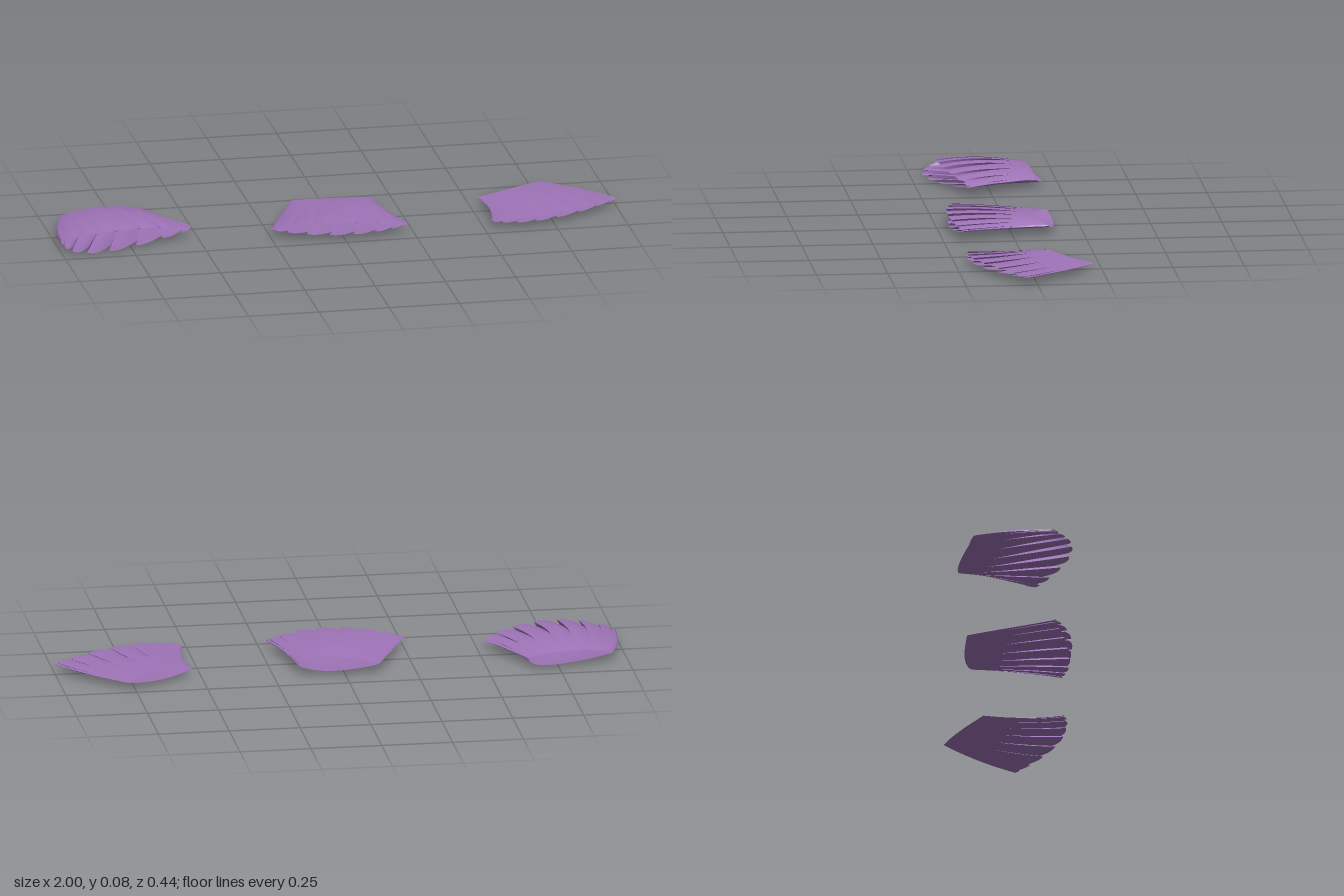
import * as THREE from 'three';
import { toCreasedNormals } from 'three/addons/utils/BufferGeometryUtils.js';

const ROWS = 16;
const PLEATS = 9;
const FOLDS = 6;

// curved edge from one corner to the other through a middle point, all [x, z]
function edge(left, mid, right) {
  const point = ([x, z]) => new THREE.Vector3(x, 0, z);
  const [l, m, r] = [left, mid, right].map(point);
  const control = m.multiplyScalar(2).addScaledVector(l, -0.5).addScaledVector(r, -0.5);
  return new THREE.QuadraticBezierCurve3(l, control, r);
}

// columns across one layer: each pleat rises slowly, then tucks under the next
function layerColumns() {
  const cols = [];
  for (let p = 0; p < PLEATS; p++) {
    for (let i = 0; i < FOLDS; i++) {
      const u = 1.1 * i / (FOLDS - 1);
      cols.push({ v: Math.min(1, (p + u) / PLEATS), h: Math.sin(1.9 * u) });
    }
  }
  return cols;
}

// open flattened tube: the upper layer runs across, the lower layer runs back
function buildSkirt(o) {
  const layers = [
    { waist: edge(o.waistL, o.upperWaist, o.waistR), hem: edge(o.hemL, o.upperHem, o.hemR), side: 1, rise: o.up },
    { waist: edge(o.waistL, o.lowerWaist, o.waistR), hem: edge(o.hemL, o.lowerHem, o.hemR), side: -1, rise: o.down },
  ];
  const cols = [];
  for (const layer of layers) {
    for (const { v, h } of layerColumns()) {
      const across = layer.side > 0 ? v : 1 - v;
      const s = (1 - Math.cos(Math.PI * across)) / 2;
      cols.push({ layer, s, h, w: layer.waist.getPoint(s), e: layer.hem.getPoint(s) });
    }
  }
  const pos = [];
  const index = [];
  const n = cols.length;
  for (let r = 0; r <= ROWS; r++) {
    const t = r / ROWS;
    const grow = THREE.MathUtils.smoothstep(t, 0.04, 0.8);
    const bow = 4 * t * (1 - t);
    for (const { layer, s, h, w, e } of cols) {
      const arch = Math.max(0, Math.sin(Math.PI * s));
      // heights at the waist, halfway and at the hem
      const [h0, h1, h2] = layer.rise;
      const rise = h0 * (1 - t) * (1 - 2 * t) + h1 * bow + h2 * t * (2 * t - 1);
      const x = w.x + (e.x - w.x) * t + bow * THREE.MathUtils.lerp(o.bowL, o.bowR, s);
      const z = w.z + (e.z - w.z) * t + o.jag * (h - 1) * t * t * t;
      const y = o.mid + layer.side * (rise * Math.pow(arch, 0.7)
        + o.pleat * grow * (h - 0.9) * (0.25 + 0.75 * arch));
      pos.push(x, y, z);
    }
  }
  for (let r = 0; r < ROWS; r++) {
    for (let c = 0; c < n; c++) {
      const a = r * n + c, b = r * n + (c + 1) % n;
      index.push(a, a + n, b, b, a + n, b + n);
    }
  }
  const g = new THREE.BufferGeometry();
  g.setAttribute('position', new THREE.Float32BufferAttribute(pos, 3));
  g.setIndex(index);
  return toCreasedNormals(g, 0.9);
}

// fullest skirt, its lower hem showing past the upper one
const fullSkirt = {
  waistL: [-0.945, -0.135], waistR: [-0.645, -0.16], hemL: [-0.995, 0.14], hemR: [-0.52, 0.085],
  upperWaist: [-0.8, -0.155], lowerWaist: [-0.72, -0.19],
  upperHem: [-0.76, 0.165], lowerHem: [-0.87, 0.205],
  mid: 0.034, up: [0.02, 0.042, 0.036], down: [0.018, 0.03, 0.028],
  pleat: 0.014, jag: 0.025, bowL: -0.015, bowR: 0,
};

// middle skirt, its upper waist dipping
const middleSkirt = {
  waistL: [-0.118, -0.15], waistR: [0.163, -0.125], hemL: [-0.252, 0.155], hemR: [0.228, 0.185],
  upperWaist: [0.07, -0.088], lowerWaist: [0.05, -0.155],
  upperHem: [0, 0.218], lowerHem: [0, 0.21],
  mid: 0.035, up: [0.02, 0.032, 0.028], down: [0.016, 0.02, 0.018],
  pleat: 0.011, jag: 0.008, bowL: -0.002, bowR: -0.01,
};

// flattest skirt, turned with a slanted waist
const flatSkirt = {
  waistL: [0.53, -0.085], waistR: [0.775, -0.22], hemL: [0.525, 0.195], hemR: [1, 0.035],
  upperWaist: [0.63, -0.085], lowerWaist: [0.65, -0.17],
  upperHem: [0.73, 0.188], lowerHem: [0.73, 0.184],
  mid: 0.029, up: [0.011, 0.014, 0.011], down: [0.009, 0.012, 0.009],
  pleat: 0.008, jag: 0.008, bowL: 0.017, bowR: 0.018,
};

export function createModel() {
  const group = new THREE.Group();
  group.name = 'pleatedSkirts';
  const cloth = new THREE.MeshStandardMaterial({ color: 0x9f74b8, side: THREE.DoubleSide });
  cloth.name = 'purpleCloth';
  for (const [name, skirt] of Object.entries({ fullSkirt, middleSkirt, flatSkirt })) {
    const mesh = new THREE.Mesh(buildSkirt(skirt), cloth);
    mesh.name = name;
    group.add(mesh);
  }
  return group;
}
